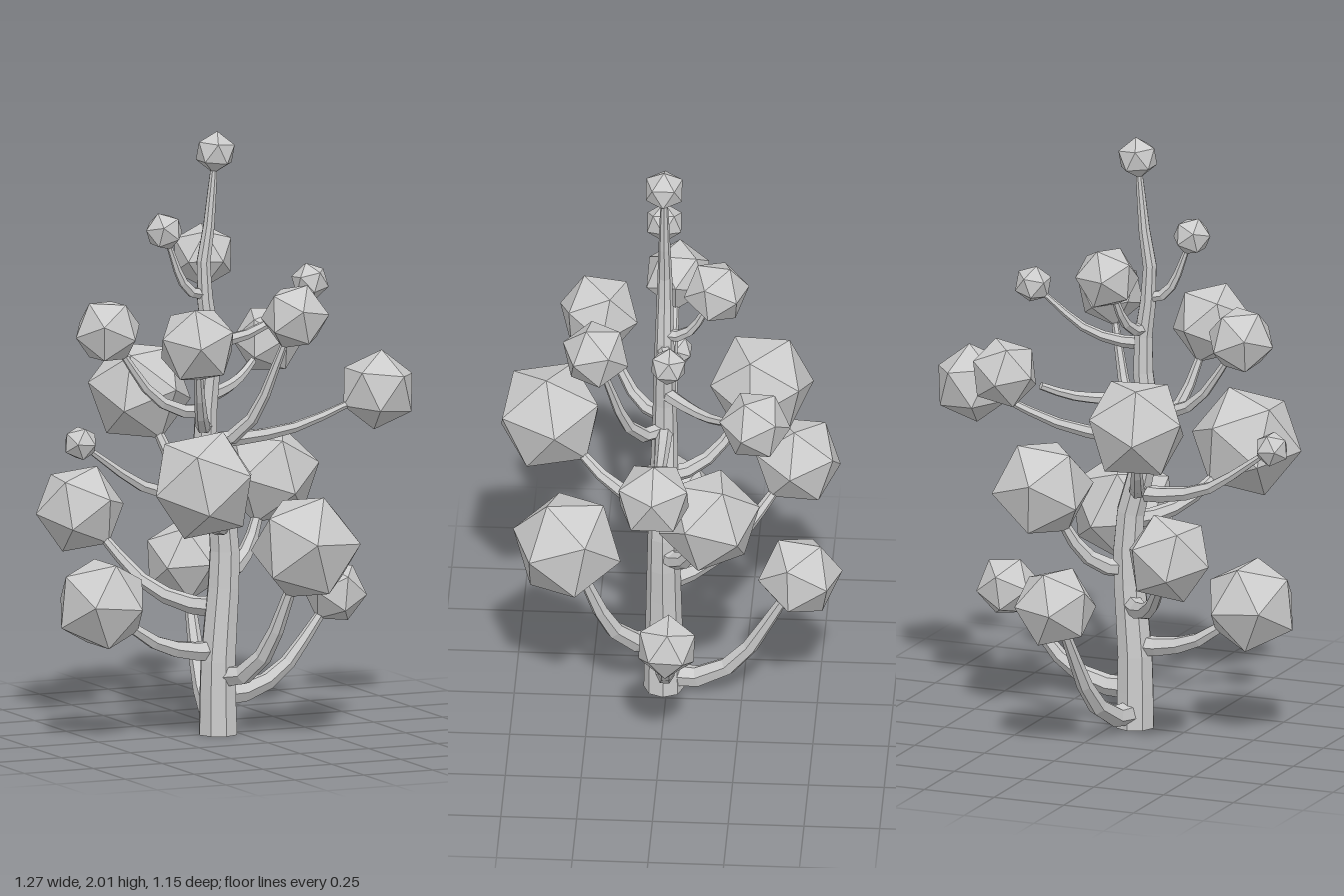
import * as THREE from 'three';

const UP = new THREE.Vector3(0, 1, 0);

// Trunk centre line in x and y, base to tip
const TRUNK = [
  [-0.07, 0], [-0.07, 0.25], [-0.05, 0.5], [-0.05, 0.7], [-0.09, 0.86], [-0.12, 1],
  [-0.1, 1.2], [-0.105, 1.4], [-0.13, 1.52], [-0.11, 1.64], [-0.08, 1.94],
].map(([x, y]) => new THREE.Vector3(x, y, 0.01));

// Branches: root height, leaf ball x, y, z, ball radius, and how far a broken limb reaches
const BRANCHES = [
  [0.05, 0.02, 0.51, -0.445, 0.142],
  [0.13, 0.37, 0.44, -0.025, 0.107],
  [0.19, 0.105, 0.655, 0.32, 0.187],
  [0.28, -0.49, 0.46, 0.005, 0.163],
  [0.42, -0.375, 0.71, -0.415, 0.152],
  [0.54, 0.19, 0.825, -0.155, 0.172],
  [0.7, -0.303, 0.9, 0.4, 0.188],
  [0.8, -0.565, 1, 0, 0.06],
  [0.82, -0.21, 1.11, -0.305, 0.178],
  [0.98, 0.51, 1.11, 0.01, 0.133],
  [0.98, 0.11, 1.41, 0.225, 0.115],
  [1.03, -0.25, 1.34, 0.235, 0.138],
  [1.08, -0.46, 1.365, -0.013, 0.116],
  [1.13, 0.26, 1.25, -0.31, 0.119, 0.73],
  [1.31, 0.28, 1.48, -0.025, 0.064],
  [1.36, -0.045, 1.57, -0.165, 0.11],
  [1.47, -0.27, 1.69, 0.02, 0.066],
];

// Every branch leaves level, then sweeps up: shares of its outward and upward run
const SWEEP = [[0, 0], [0.22, 0.01], [0.52, 0.19], [0.85, 0.73], [1, 1]];

// Point on the trunk line at a given height
function trunkAt(y) {
  const i = TRUNK.findIndex((p) => p.y > y);
  const [a, b] = [TRUNK[i - 1], TRUNK[i]];
  return a.clone().lerp(b, (y - a.y) / (b.y - a.y));
}

// A cylinder bent along a curve, with a radius that varies from base to tip
function taperedLimb(points, radiusAt, segments, sides, reach = 1) {
  const curve = new THREE.CatmullRomCurve3(points);
  const geometry = new THREE.CylinderGeometry(1, 1, 1, sides, segments);
  const position = geometry.attributes.position;
  const v = new THREE.Vector3();
  const turn = new THREE.Quaternion();
  for (let i = 0; i < position.count; i++) {
    v.fromBufferAttribute(position, i);
    const t = THREE.MathUtils.clamp(v.y + 0.5, 0, 1) * reach;
    turn.setFromUnitVectors(UP, curve.getTangentAt(t));
    v.set(v.x, 0, v.z).multiplyScalar(radiusAt(t)).applyQuaternion(turn).add(curve.getPointAt(t));
    position.setXYZ(i, v.x, v.y, v.z);
  }
  geometry.computeVertexNormals();
  return geometry;
}

export function createModel() {
  const group = new THREE.Group();
  group.name = 'tree';
  const material = new THREE.MeshStandardMaterial({ color: 0xcccccc, flatShading: true });

  // Icosahedron standing on one of its corners
  const ball = new THREE.IcosahedronGeometry(1, 0).rotateZ(Math.atan(2 / (1 + Math.sqrt(5))));

  const add = (geometry, name, parent) => {
    const mesh = new THREE.Mesh(geometry, material);
    mesh.name = name;
    parent.add(mesh);
    return mesh;
  };

  // Leaf ball with its axis along the direction its twig grows
  const addBall = (centre, radius, direction, parent) => {
    const mesh = add(ball, 'leafBall', parent);
    mesh.position.copy(centre);
    mesh.scale.setScalar(radius);
    mesh.quaternion.setFromUnitVectors(UP, direction.normalize());
  };

  // Trunk, thinning to a twig that carries the top ball
  add(taperedLimb(TRUNK, (t) => 0.058 * (1 - t) ** 0.8 + 0.009, 16, 8), 'trunk', group);
  addBall(TRUNK[TRUNK.length - 1], 0.07, new THREE.Vector3(0.1, 1, 0), group);

  // Side branches with their leaf balls
  BRANCHES.forEach(([rootY, x, y, z, radius, reach]) => {
    const branch = new THREE.Group();
    branch.name = 'branch';
    group.add(branch);
    const root = trunkAt(rootY);
    const tip = new THREE.Vector3(x, y, z);
    const run = tip.clone().sub(root);
    const points = SWEEP.map(([out, rise]) => new THREE.Vector3(out, rise, out).multiply(run).add(root));
    const width = 0.042 - 0.014 * rootY;
    add(taperedLimb(points, (t) => width * (1 - 0.7 * t), 6, 6, reach), 'limb', branch);
    addBall(tip, radius, tip.clone().sub(points[3]), branch);
  });

  return group;
}
